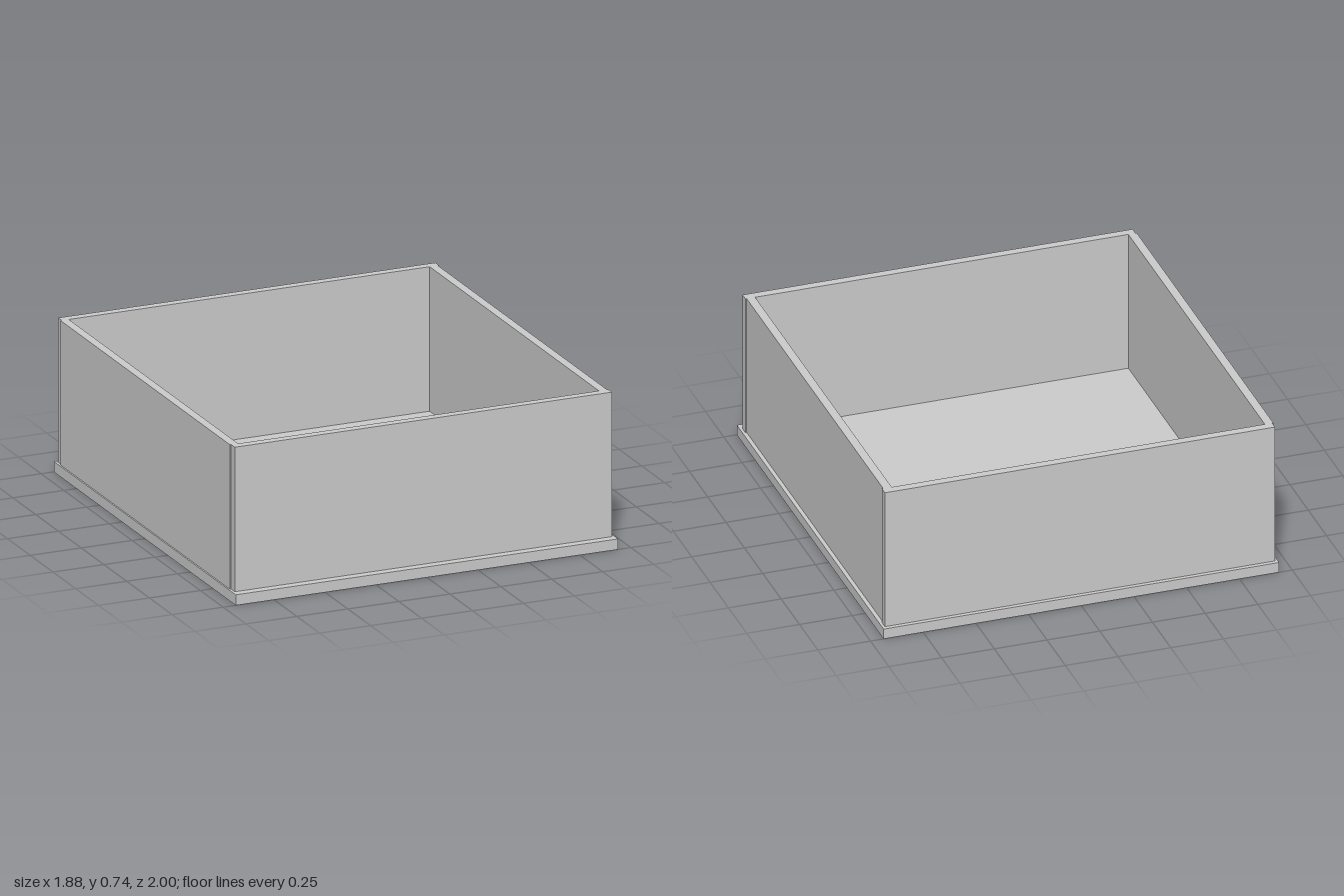
import * as THREE from 'three';

export function createModel() {
  const group = new THREE.Group();
  const material = new THREE.MeshStandardMaterial({ color: 0xcccccc, flatShading: true });

  // Box given by its min and max along each axis
  const slab = (name, [x0, x1], [y0, y1], [z0, z1]) => {
    const mesh = new THREE.Mesh(new THREE.BoxGeometry(x1 - x0, y1 - y0, z1 - z0), material);
    mesh.position.set((x0 + x1) / 2, (y0 + y1) / 2, (z0 + z1) / 2);
    mesh.name = name;
    group.add(mesh);
  };

  const wallY = [0.05, 0.735];
  const endX = [-0.925, 0.925];
  const sideZ = [-0.94, 0.92];

  // Base plate, slightly larger than the walls
  slab('basePlate', [-0.938, 0.938], [0, 0.05], [-1, 1]);

  // Front and back walls
  slab('frontWall', endX, wallY, [0.92, 0.96]);
  slab('backWall', endX, wallY, [-0.98, -0.94]);

  // Side walls between them, set a hair towards -x
  slab('leftWall', [0.879, 0.919], wallY, sideZ);
  slab('rightWall', [-0.931, -0.891], wallY, sideZ);

  return group;
}
